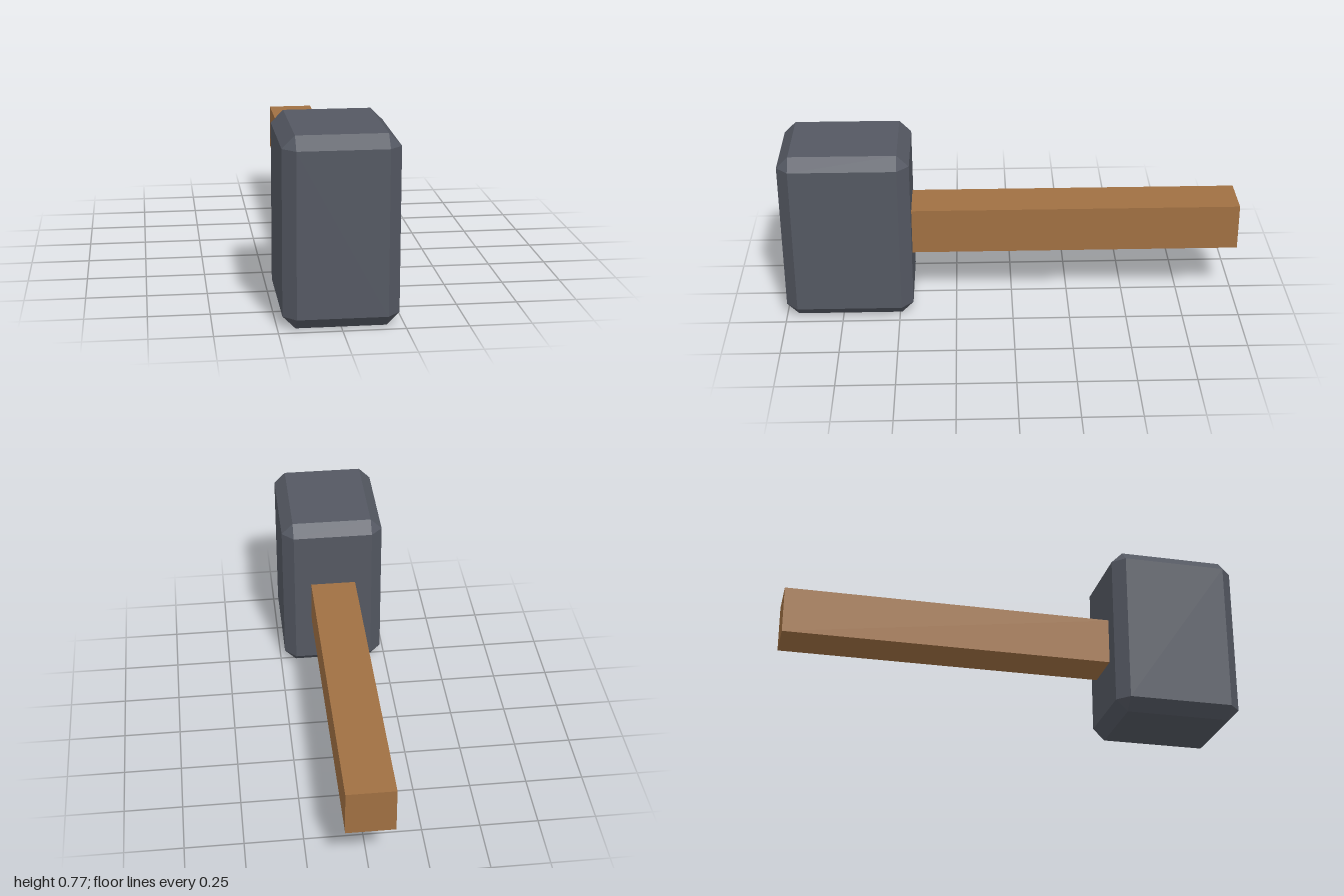
import * as THREE from 'three';
import { ConvexGeometry } from 'three/addons/geometries/ConvexGeometry.js';

// Box with chamfered edges and triangular corners, centred on the origin
function chamferedBox(width, height, depth, bevel) {
  const half = [width / 2, height / 2, depth / 2];
  const points = [];
  for (const sx of [-1, 1]) for (const sy of [-1, 1]) for (const sz of [-1, 1]) {
    const sign = [sx, sy, sz];
    // each corner becomes three points, one lying on each adjoining face
    for (let face = 0; face < 3; face++) {
      const c = half.map((h, axis) => sign[axis] * (axis === face ? h : h - bevel));
      points.push(new THREE.Vector3(...c));
    }
  }
  return new ConvexGeometry(points);
}

export function createModel() {
  const iron = new THREE.MeshStandardMaterial({ color: 0x545862, flatShading: true });
  iron.name = 'dark iron';
  const wood = new THREE.MeshStandardMaterial({ color: 0xa07042, flatShading: true });
  wood.name = 'brown wood';

  const hammer = new THREE.Group();
  hammer.name = 'hammer';

  // Heavy bevelled head
  const head = new THREE.Mesh(chamferedBox(0.46, 0.77, 0.56, 0.051), iron);
  head.name = 'head';
  head.position.set(0, 0.385, 0.72);

  // Square handle, slightly sunk into the back of the head
  const handle = new THREE.Mesh(new THREE.BoxGeometry(0.205, 0.205, 1.45), wood);
  handle.name = 'handle';
  handle.position.set(0, 0.362, -0.275);

  hammer.add(head, handle);
  return hammer;
}
